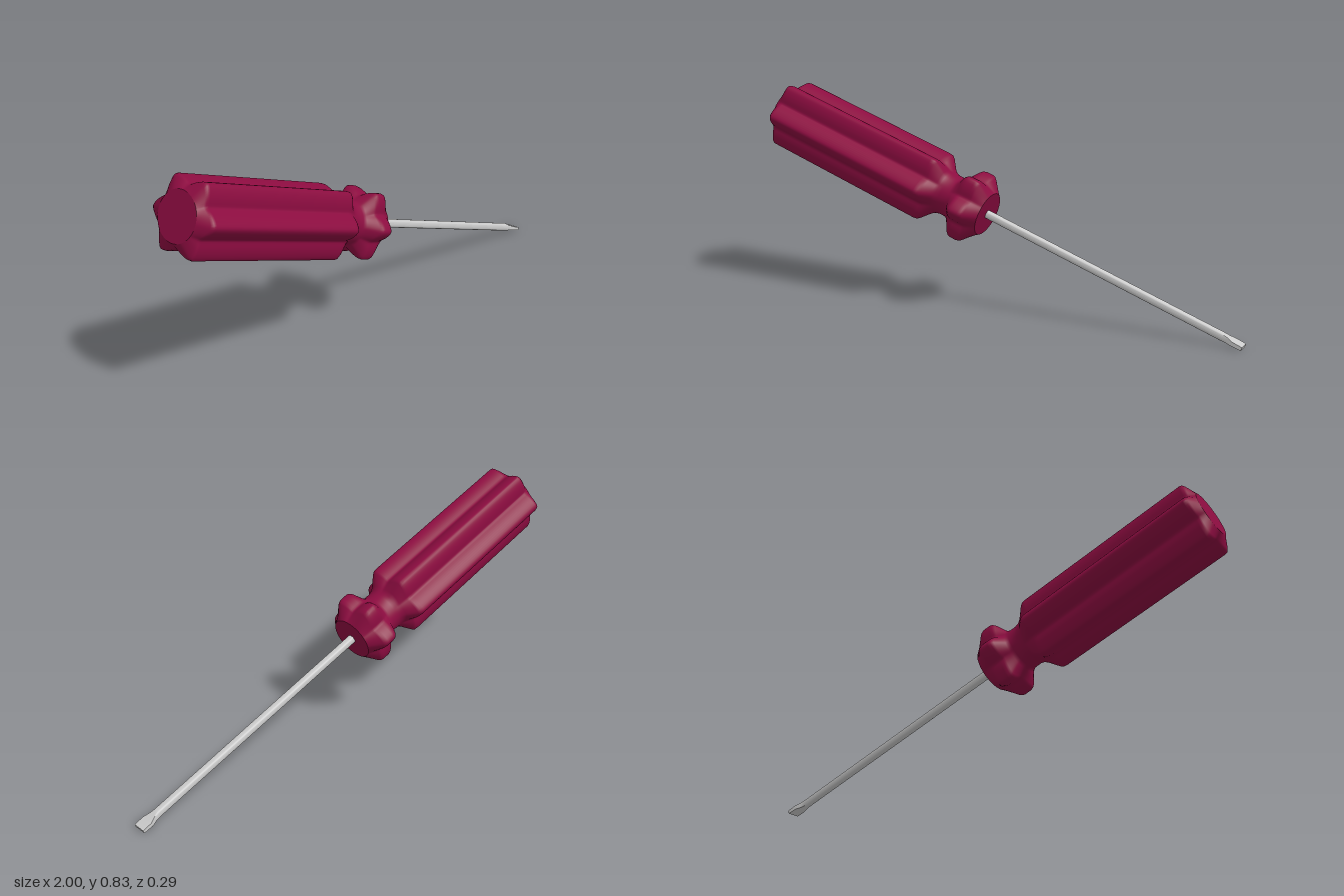
import * as THREE from 'three';
import { toCreasedNormals } from 'three/addons/utils/BufferGeometryUtils.js';

const TILT = THREE.MathUtils.degToRad(20);
const AXIS_OFFSET = 0.35; // distance of the tool axis from the origin

// Skin a list of rings along x; point(ring, angle) gives [y, z]. Ends get flat caps.
function loft(rings, sides, point) {
  const pos = [], index = [];
  const addRing = (ring) => {
    const start = pos.length / 3;
    for (let j = 0; j < sides; j++) {
      const [y, z] = point(ring, (j / sides) * Math.PI * 2);
      pos.push(ring[0], y, z);
    }
    return start;
  };
  rings.forEach(addRing);
  for (let i = 0; i < rings.length - 1; i++) {
    for (let j = 0; j < sides; j++) {
      const k = (j + 1) % sides;
      const a = i * sides + j, b = i * sides + k;
      index.push(a, b, a + sides, b, b + sides, a + sides);
    }
  }
  const addCap = (ring, front) => {
    const start = addRing(ring);
    const centre = pos.length / 3;
    pos.push(ring[0], 0, 0);
    for (let j = 0; j < sides; j++) {
      const a = start + j, b = start + (j + 1) % sides;
      index.push(centre, front ? a : b, front ? b : a);
    }
  };
  addCap(rings[0], false);
  addCap(rings[rings.length - 1], true);
  const geo = new THREE.BufferGeometry();
  geo.setAttribute('position', new THREE.Float32BufferAttribute(pos, 3));
  geo.setIndex(index);
  geo.computeVertexNormals();
  return geo;
}

// Six-lobed section: ring = [x, valley radius, lobe radius]
function lobedPoint([, valley, lobe], a) {
  const wave = Math.asin(-0.95 * Math.cos(6 * a)) / Math.asin(0.95);
  const r = valley + (lobe - valley) * (wave + 1) / 2;
  return [r * Math.cos(a), r * Math.sin(a)];
}

// Section from round (k = 0) to rectangular (k = 1): ring = [x, half height, half width, k]
function bladePoint([, h, w, k], a) {
  const c = Math.cos(a), s = Math.sin(a);
  const scale = 1 + k * (1 / Math.max(Math.abs(c), Math.abs(s)) - 1);
  return [h * c * scale, w * s * scale];
}

export function createModel() {
  const model = new THREE.Group();
  model.name = 'screwdriver';
  const tool = new THREE.Group();
  tool.name = 'tiltedTool';
  tool.rotation.z = -TILT;
  tool.position.set(AXIS_OFFSET * Math.sin(TILT), AXIS_OFFSET * Math.cos(TILT), 0);
  model.add(tool);

  // Fluted grip, round neck and fluted collar
  const handleRings = [
    [-1.165, 0.088, 0.088],
    [-1.145, 0.102, 0.133],
    [-1.138, 0.105, 0.143],
    [-1.128, 0.106, 0.146],
    [-0.42, 0.106, 0.146],
    [-0.405, 0.105, 0.144],
    [-0.395, 0.103, 0.137],
    [-0.365, 0.09, 0.1],
    [-0.352, 0.086, 0.089],
    [-0.335, 0.084, 0.084],
    [-0.305, 0.084, 0.084],
    [-0.29, 0.087, 0.092],
    [-0.265, 0.102, 0.134],
    [-0.255, 0.105, 0.143],
    [-0.243, 0.106, 0.146],
    [-0.215, 0.106, 0.146],
    [-0.203, 0.105, 0.142],
    [-0.195, 0.103, 0.135],
    [-0.155, 0.087, 0.087],
  ];
  const handle = new THREE.Mesh(
    loft(handleRings, 120, lobedPoint),
    new THREE.MeshStandardMaterial({ color: 0x8c0c40 })
  );
  handle.name = 'handle';
  tool.add(handle);

  // Round shaft flattening and flaring into the blade
  const shaftRings = [
    [-0.2, 0.0168, 0.0168, 0],
    [0.85, 0.0168, 0.0168, 0],
    [0.872, 0.0125, 0.0185, 0.5],
    [0.895, 0.008, 0.0255, 1],
    [0.934, 0.0065, 0.0255, 1],
  ];
  const shaft = new THREE.Mesh(
    toCreasedNormals(loft(shaftRings, 24, bladePoint), 0.6),
    new THREE.MeshStandardMaterial({ color: 0xcccccc })
  );
  shaft.name = 'shaftAndBlade';
  tool.add(shaft);

  return model;
}
